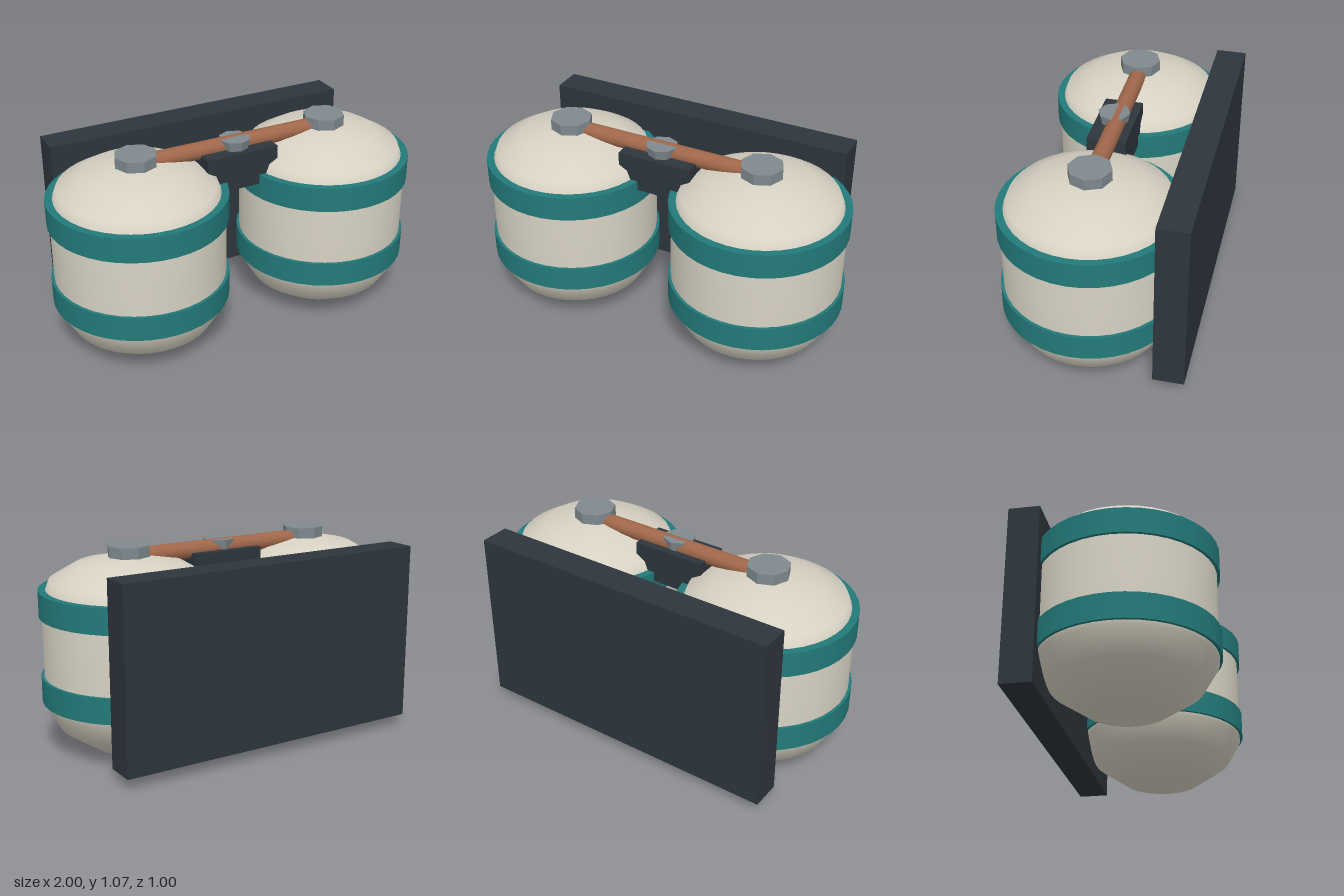
import * as THREE from 'three';

const material = (name, color, flatShading = false) => {
  const m = new THREE.MeshStandardMaterial({ color });
  m.name = name;
  m.flatShading = flatShading;
  return m;
};

export function createModel() {
  const cream = material('cream paint', 0xd6d1c2);
  const teal = material('teal band', 0x237a7a);
  const dark = material('dark steel', 0x2d353c);
  const copper = material('copper', 0xa0674a);
  const grey = material('grey metal', 0x7e898e, true);

  const model = new THREE.Group();
  model.name = 'twinTanks';
  const add = (parent, name, geometry, mat, x, y, z) => {
    const mesh = new THREE.Mesh(geometry, mat);
    mesh.name = name;
    mesh.position.set(x, y, z);
    parent.add(mesh);
    return mesh;
  };

  // Mounting plate and the bracket between the tanks
  add(model, 'backPlate', new THREE.BoxGeometry(1.7, 0.94, 0.16), dark, 0, 0.535, -0.42);
  add(model, 'bracket', new THREE.BoxGeometry(0.4, 0.195, 0.2), dark, 0, 0.898, 0.05);

  // Tank outline from bottom to top: domed ends on a straight wall
  const profile = [
    [0, 0.002], [0.205, 0.02], [0.375, 0.135], [0.445, 0.255], [0.445, 0.3],
    [0.445, 0.82], [0.42, 0.855], [0.403, 0.9], [0.27, 0.977], [0.11, 1.01], [0, 1.015],
  ].map(([r, y]) => new THREE.Vector2(r, y));
  const tankGeometry = new THREE.LatheGeometry(profile, 40);
  const bandGeometry = new THREE.CylinderGeometry(0.46, 0.46, 0.133, 40);
  const capGeometry = new THREE.CylinderGeometry(0.11, 0.11, 0.075, 8);
  capGeometry.rotateY(Math.PI / 2);

  for (const side of [1, -1]) {
    const tank = new THREE.Group();
    tank.name = side > 0 ? 'leftTank' : 'rightTank';
    tank.position.set(side * 0.54, 0, 0.04);
    add(tank, 'tankBody', tankGeometry, cream, 0, 0, 0);
    add(tank, 'lowerBand', bandGeometry, teal, 0, 0.342, 0);
    add(tank, 'upperBand', bandGeometry, teal, 0, 0.786, 0);
    add(tank, 'tankCap', capGeometry, grey, 0, 1.0295, 0);
    model.add(tank);
  }

  // Connecting pipe with its central fitting
  const pipe = add(model, 'pipe', new THREE.CylinderGeometry(0.045, 0.045, 1.08, 16), copper, 0, 1.005, 0.035);
  pipe.rotation.z = Math.PI / 2;
  add(model, 'pipeFitting', new THREE.CylinderGeometry(0.083, 0.07, 0.06, 8), grey, 0, 1.017, 0.055);

  return model;
}
